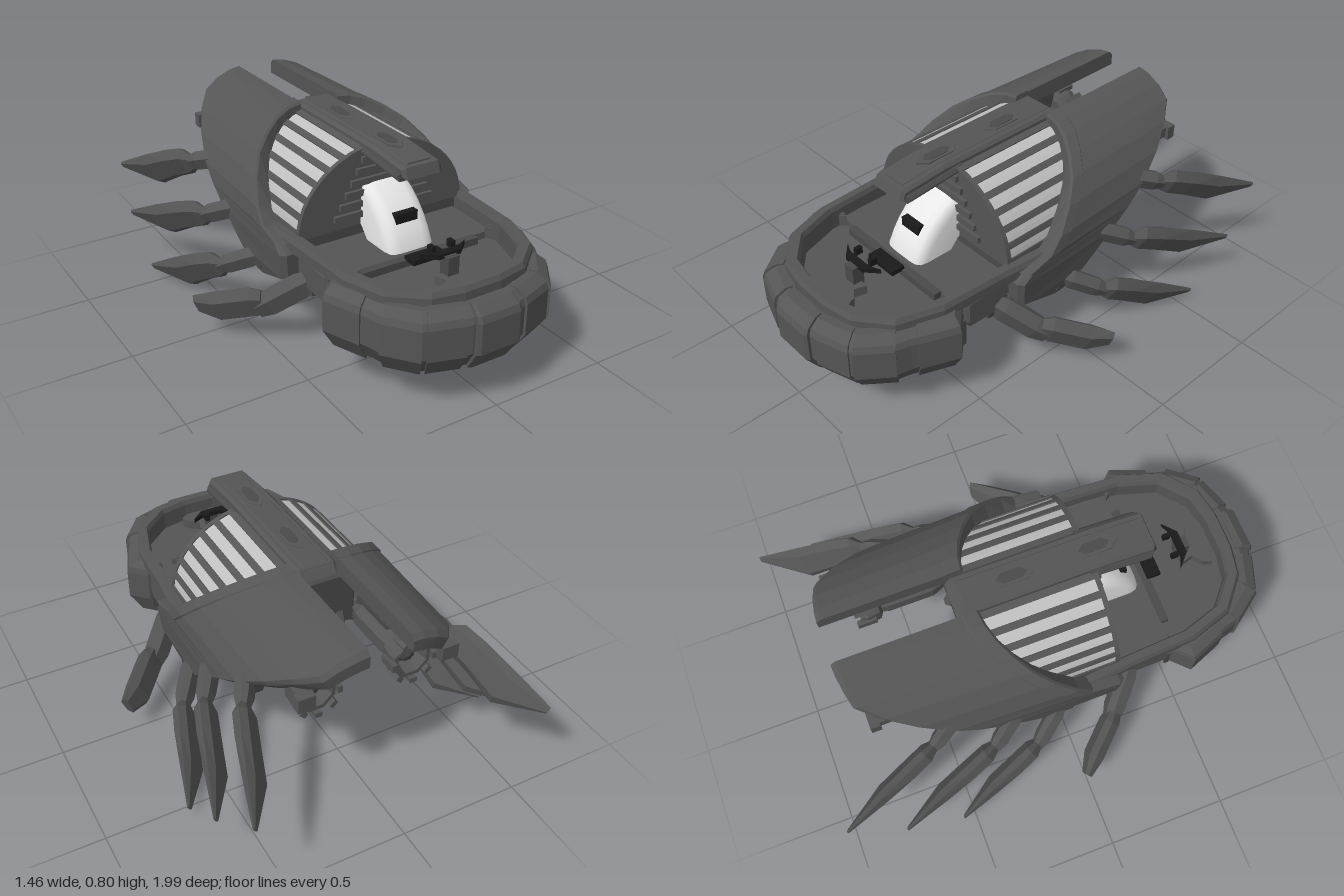
import * as THREE from 'three';
import { toCreasedNormals } from 'three/addons/utils/BufferGeometryUtils.js';

const mat = (name, color) => Object.assign(new THREE.MeshStandardMaterial({ color }), { name });
const V = (x, y, z) => new THREE.Vector3(x, y, z);

// linear lookup in [[key, value], ...]
function lookup(table, k) {
  for (let i = 1; i < table.length; i++) {
    const [a, va] = table[i - 1], [b, vb] = table[i];
    if (k <= b) return va + (vb - va) * Math.max(0, (k - a) / (b - a));
  }
  return table[table.length - 1][1];
}

// faceted normals, and faces turned outwards on any closed solid
function facet(geo) {
  const g = geo.index ? geo.toNonIndexed() : geo;
  const p = g.attributes.position;
  const a = V(), b = V(), c = V();
  let vol = 0;
  for (let i = 0; i < p.count; i += 3) {
    a.fromBufferAttribute(p, i); b.fromBufferAttribute(p, i + 1); c.fromBufferAttribute(p, i + 2);
    vol += a.dot(b.cross(c));
  }
  if (vol < 0) for (let i = 0; i < p.count; i += 3) {
    b.fromBufferAttribute(p, i + 1); c.fromBufferAttribute(p, i + 2);
    p.setXYZ(i + 1, c.x, c.y, c.z); p.setXYZ(i + 2, b.x, b.y, b.z);
  }
  g.computeVertexNormals();
  return g;
}

// solid through a row of equal-length rings, capped at both ends
function loft(rings) {
  const out = [], n = rings[0].length;
  const tri = (...v) => v.forEach(q => out.push(q.x, q.y, q.z));
  for (let i = 0; i < rings.length - 1; i++) for (let j = 0; j < n; j++) {
    const k = (j + 1) % n, A = rings[i], B = rings[i + 1];
    tri(A[j], A[k], B[k]); tri(A[j], B[k], B[j]);
  }
  const cap = (r, flip) => {
    const m = r.reduce((s, q) => s.add(q), V()).divideScalar(n);
    r.forEach((q, j) => flip ? tri(m, r[(j + 1) % n], q) : tri(m, q, r[(j + 1) % n]));
  };
  cap(rings[0], true); cap(rings[rings.length - 1], false);
  const g = new THREE.BufferGeometry();
  g.setAttribute('position', new THREE.Float32BufferAttribute(out, 3));
  return facet(g);
}

const shapeOf = pts => new THREE.Shape(pts.map(p => new THREE.Vector2(...p)));
// outline in [z, y], extruded across x
function across(pts, width, x = 0, bevel = 0.012) {
  const g = new THREE.ExtrudeGeometry(shapeOf(pts), { depth: width - 2 * bevel, bevelEnabled: true, bevelSize: bevel, bevelOffset: -bevel, bevelThickness: bevel, bevelSegments: 1 });
  return g.translate(0, 0, -(width - 2 * bevel) / 2).rotateY(-Math.PI / 2).translate(x, 0, 0);
}
// outline in [x, z], extruded down from yTop
const plan = (pts, yTop, depth) => new THREE.ExtrudeGeometry(shapeOf(pts), { depth, bevelEnabled: false }).rotateX(Math.PI / 2).translate(0, yTop, 0);
const mirrorPath = half => [...half.map(([x, z]) => [-x, z]), ...half.slice().reverse()];
const box = (w, h, d, x, y, z) => new THREE.BoxGeometry(w, h, d).translate(x, y, z);

// carapace outline: half width, front edge and rear edge at each height
const SHELL = [[0.43, 0.22], [0.45, 0.29], [0.46, 0.40], [0.46, 0.44], [0.46, 0.47], [0.45, 0.53], [0.41, 0.61], [0.355, 0.68], [0.29, 0.73], [0.22, 0.77], [0.15, 0.793], [0.09, 0.80]];
const FRONT = [[0.22, 0.05], [0.29, 0.24], [0.40, 0.25], [0.44, 0.2], [0.47, 0.08], [0.8, -0.26]];
const REAR = [[0.22, -0.04], [0.42, -0.31], [0.6, -0.6], [0.68, -0.72], [0.73, -0.8], [0.8, -0.825]];

// curved plate following the carapace, between two edges given by height; narrows aft
function shellPlate(s, pts, zf, zb, lift, thick, bev) {
  return loft(pts.map(([x, y], i) => {
    const p = pts[Math.max(0, i - 1)], q = pts[Math.min(pts.length - 1, i + 1)];
    const n = new THREE.Vector2(q[1] - p[1], p[0] - q[0]).normalize();
    const at = (d, z) => V(s * Math.max(0.088, (x + n.x * d) * (1 + Math.min(0, z + 0.15) * 0.12)), y + n.y * d, z);
    const f = zf(y), b = zb(y), e = Math.min(bev, (f - b) / 3);
    return [at(lift, f - e), at(lift, b + e), at(lift - bev, b), at(lift - thick, b), at(lift - thick, f), at(lift - bev, f)];
  }));
}

// flat limb plates; stations are [t, upper edge, lower edge, half thickness]
const BLADE = [[0, -0.03, 0.04, 0.015], [0.1, -0.07, 0.07, 0.03], [0.3, -0.065, 0.085, 0.03], [0.6, -0.045, 0.125, 0.025], [1, -0.012, 0.02, 0.005]];
const CLAW = [[0, -0.06, 0.04, 0.025], [0.15, -0.085, 0.07, 0.032], [0.7, -0.08, 0.075, 0.032], [1, -0.075, 0.02, 0.015]];
const ARM = [[0, -0.03, 0.03, 0.025], [0.2, -0.045, 0.045, 0.032], [0.85, -0.045, 0.045, 0.03], [1.15, -0.025, 0.03, 0.018]];
const THICK_ARM = [[0, -0.05, 0.05, 0.03], [0.2, -0.06, 0.06, 0.038], [0.9, -0.05, 0.07, 0.038], [1.2, -0.03, 0.06, 0.025]];
function limb(s, from, to, stations) {
  const a = V(...from), d = V(...to).sub(a), u = d.clone().normalize();
  const w = V(-0.45, -0.89, 0); w.addScaledVector(u, -w.dot(u)).normalize();
  const n = u.clone().cross(w);
  return loft(stations.map(([t, lo, hi, h]) => {
    const at = (k, m) => { const p = a.clone().addScaledVector(d, t).addScaledVector(w, k).addScaledVector(n, m); p.x *= s; return p; };
    const c = (hi - lo) * 0.2;
    return [at(lo, h * 0.3), at(lo + c, h), at(hi - c, h), at(hi, 0), at(hi - c, -h), at(lo + c, -h)];
  }));
}

export function createModel() {
  const root = new THREE.Group();
  root.name = 'craft';
  const hull = mat('hull grey', 0x555555), dark = mat('dark grey', 0x4a4a4a);
  const light = mat('light stripe', 0xc0c0c0), white = mat('white', 0xfafafa), black = mat('black', 0x1a1a1a);
  const add = (name, geo, m = hull) => { const o = new THREE.Mesh(geo, m); o.name = name; root.add(o); return o; };

  // wraparound bumper: a core ring with raised armour panels
  const outer = [[0.40, 0.49], [0.47, 0.56], [0.40, 0.74], [0.385, 0.80], [0.29, 0.925], [0.11, 0.985]];
  const profile = [[0.9, 0.42], [0.98, 0.395], [1, 0.37], [1, 0.25], [0.89, 0.17], [0.68, 0.17], [0.66, 0.30], [0.84, 0.34], [0.84, 0.42]];
  const wall = (path, k) => loft(path.map(([x, z]) => profile.map(([f, y]) => V(x * f * k, 0.295 + (y - 0.295) * (k > 0.99 ? 1.06 : 1), 0.48 + (z - 0.48) * f * k))));
  add('bumperCore', wall(mirrorPath(outer), 0.98));
  add('bumperPanelFront', wall([[-0.1, 0.985], [-0.085, 0.995], [0.085, 0.995], [0.1, 0.985]], 1.003));
  const lerp = (p, q, t) => [p[0] + (q[0] - p[0]) * t, p[1] + (q[1] - p[1]) * t];
  for (const s of [-1, 1]) {
    const panel = pts => add('bumperPanel', wall(pts.map(([x, z]) => [s * x, z]), 1));
    panel([outer[0], outer[1], lerp(outer[1], outer[2], 0.85)]);
    panel([outer[3], outer[4]]);
    panel([lerp(outer[4], outer[5], 0.1), lerp(outer[4], outer[5], 0.88)]);
    add('bumperVent', box(0.09, 0.12, 0.02, s * 0.35, 0.27, 0.483), dark);
    add('bellyPlate', box(0.12, 0.05, 0.22, s * 0.17, 0.235, 0.64));
  }
  add('bowBelly', plan(mirrorPath(outer).map(([x, z]) => [x * 0.8, 0.45 + (z - 0.48) * 0.85]), 0.345, 0.10), dark);

  // sunken cockpit: rim with inner wall, floor and rear deck
  const rim = [[0.44, 0.05], [0.415, 0.3], [0.40, 0.58], [0.34, 0.76], [0.21, 0.865], [0.08, 0.89]];
  add('cockpitRim', loft(mirrorPath(rim).map(([x, z]) => [[1, 0.41], [1, 0.45], [0.975, 0.47], [0.9, 0.47], [0.88, 0.45], [0.88, 0.33], [0.92, 0.33], [0.92, 0.41]].map(([f, y]) => V(x * f, y, z * (0.5 + f / 2))))));
  add('cockpitFloor', plan(mirrorPath(rim).map(([x, z]) => [x * 0.9, z * 0.95]), 0.37, 0.035));
  add('rearDeck', box(0.72, 0.05, 0.26, 0, 0.375, 0.36));
  add('deckStep', box(0.54, 0.03, 0.035, 0, 0.39, 0.505), dark);
  add('machineryBay', box(0.80, 0.13, 0.22, 0, 0.385, 0.125), dark);

  // keel, rising at the stern
  const keel = [[0.85, 0.26], [0.85, 0.33], [0.24, 0.33], [0.1, 0.42], [-0.26, 0.76], [-0.31, 0.72], [-0.31, 0.5], [-0.04, 0.31], [0.45, 0.29]];
  add('keel', across(keel, 0.34), dark);
  add('underside', box(0.76, 0.04, 0.5, 0, 0.335, 0.24));
  for (const s of [-1, 1]) {
    add('undersideRail', across([[0.5, 0.27], [0.5, 0.34], [0.08, 0.36], [-0.3, 0.58], [-0.34, 0.5], [-0.02, 0.26]], 0.08, s * 0.22));
    add('keelRail', across([[0.62, 0.255], [0.62, 0.32], [0, 0.36], [-0.3, 0.58], [-0.33, 0.5], [-0.03, 0.285], [0.42, 0.27]], 0.05, s * 0.1));
    add('sideBox', across([[0.47, 0.31], [0.47, 0.41], [0.26, 0.41], [0.26, 0.30], [0.3, 0.28], [0.45, 0.28]], 0.035, s * 0.383));
  }

  // canopy: dark core, light strips, narrow raised ribs and a front bulkhead
  const zEdge = y => lookup(FRONT, y);
  const zBack = y => Math.min(0.08, zEdge(y)) - 0.04;
  const arc = (a, r = 0) => [(0.38 + r) * Math.cos(a), 0.45 + (0.325 + r) * Math.sin(a)];
  const archRing = (r, z) => Array.from({ length: 25 }, (_, i) => arc(Math.PI * i / 24, r)).map(([x, y]) => V(x, y, z(y)));
  add('canopyCore', loft([archRing(-0.012, () => 0.235), archRing(-0.012, y => zBack(y) - 0.01)]), dark);
  add('bulkhead', loft([archRing(0.006, () => 0.23), archRing(0.006, () => 0.25)]));
  const strip = (s, a0, a1, r) => loft([0, 0.5, 1].map(t => {
    const a = a0 + (a1 - a0) * t, [x, y] = arc(a, r), [u, v] = arc(a, -0.02), b = zBack(y);
    return [V(s * x, y, 0.24), V(s * x, y, b), V(s * u, v, b), V(s * u, v, 0.24)];
  }));
  const pitch = 0.205, ribWidth = 0.078;
  for (const s of [-1, 1]) for (let i = 0; i < 7; i++) {
    const a = 0.03 + pitch * i;
    add('canopyRib', strip(s, a, a + ribWidth, 0.006));
    if (i < 6) add('canopyStrip', strip(s, a + ribWidth, a + pitch, 0), light);
  }
  for (let i = 0; i < 6; i++) add('bulkheadSlat', box(0.46 - 0.05 * i, 0.026, 0.03, 0, 0.5 + 0.045 * i, 0.25));

  // spine beam over the canopy
  add('spineBeam', across([[-0.32, 0.75], [-0.29, 0.793], [0.3, 0.793], [0.5, 0.775], [0.515, 0.73], [0.45, 0.725], [0.25, 0.75]], 0.17));
  add('spineRidge', across([[-0.3, 0.78], [-0.28, 0.797], [0.27, 0.797], [0.48, 0.782], [0.48, 0.76]], 0.11, 0, 0.004));
  add('spineFlange', across([[0.22, 0.745], [0.22, 0.775], [0.49, 0.75], [0.49, 0.72]], 0.21), dark);
  for (const z of [-0.07, 0.27]) {
    const hex = k => [[0, -0.1], [0.033, -0.06], [0.033, 0.06], [0, 0.1], [-0.033, 0.06], [-0.033, -0.06]].map(([x, d]) => [x * k, z + d * k]);
    add('spineHatch', plan(hex(1), 0.8, 0.008));
    add('spineHatchInset', plan(hex(0.65), 0.802, 0.008), dark);
  }

  // twin rear carapace shells with a raised arch trim
  for (const s of [-1, 1]) {
    add('rearShell', shellPlate(s, SHELL, zEdge, y => lookup(REAR, y), 0, 0.07, 0.02));
    add('archTrim', shellPlate(s, SHELL.slice(3), y => zEdge(y) + 0.025, y => zEdge(y) - 0.05, 0.005, 0.07, 0.01));

    // engine slung under each shell, with an eight-sided nozzle
    const ex = s * 0.205, ey = 0.535;
    const lathe = (pts, z) => facet(new THREE.LatheGeometry(pts.map(p => new THREE.Vector2(...p)), 8, Math.PI / 8).rotateX(-Math.PI / 2).translate(ex, ey, z));
    add('engineBarrel', lathe([[0, 0], [0.05, 0], [0.07, 0.05], [0.07, 0.24], [0.055, 0.3], [0, 0.3]], -0.31));
    add('engineNozzle', lathe([[0.05, 0], [0.085, 0.02], [0.095, 0.07], [0.085, 0.1], [0.068, 0.1], [0.055, 0.02], [0.05, 0]], -0.57));
    add('engineCore', lathe([[0, 0], [0.055, 0], [0.03, 0.05], [0, 0.06]], -0.59), dark);
    for (let i = 0; i < 8; i++)
      add('nozzleFin', new THREE.BoxGeometry(0.03, 0.02, 0.08).translate(0, 0.088, 0).rotateZ(i * Math.PI / 4).translate(ex, ey, -0.65));
    add('engineHanger', across([[-0.3, 0.56], [-0.34, 0.74], [-0.58, 0.74], [-0.54, 0.56]], 0.08, s * 0.21), dark);
    add('nozzleArm', box(0.045, 0.045, 0.2, s * 0.3, 0.61, -0.66));
    add('nozzleClamp', box(0.07, 0.06, 0.04, s * 0.3, 0.605, -0.75));
    add('engineStrut', across([[-0.1, 0.42], [-0.2, 0.62], [-0.5, 0.64], [-0.5, 0.54], [-0.34, 0.46], [-0.2, 0.4]], 0.07, s * 0.32), dark);
    add('engineMount', across([[-0.3, 0.46], [-0.3, 0.53], [-0.53, 0.55], [-0.5, 0.47]], 0.07, s * 0.36));

    // legs: hip, arm and blade
    const legs = [
      [[0.37, 0.3, 0.31], [0.51, 0.19, 0.19], [0.70, 0.12, -0.01], THICK_ARM, CLAW],
      [[0.42, 0.28, -0.02], [0.52, 0.2, -0.15], [0.68, 0.055, -0.55], ARM, BLADE],
      [[0.41, 0.42, -0.2], [0.50, 0.355, -0.33], [0.67, 0.22, -0.78], ARM, BLADE],
      [[0.36, 0.55, -0.42], [0.445, 0.5, -0.56], [0.62, 0.365, -0.995], ARM, BLADE]];
    for (const [hip, knee, tip, arm, blade] of legs) {
      add('legHip', box(0.09, 0.07, 0.1, s * (hip[0] - 0.02), hip[1], hip[2]), dark);
      add('legArm', limb(s, hip, knee, arm));
      add('legBlade', limb(s, knee, tip, blade));
    }
  }

  // white rounded pilot seat rising from the cockpit floor, with a black pad
  const seatArc = [[0.47, 0.37, 0.1], [0.46, 0.42, 0.105], [0.435, 0.47, 0.105], [0.405, 0.515, 0.105], [0.365, 0.56, 0.105], [0.315, 0.6, 0.105], [0.27, 0.625, 0.105], [0.235, 0.638, 0.105]];
  const seatSection = [[-1, -0.16], [-1, -0.05], [-0.93, -0.02], [-0.78, -0.005], [-0.5, 0], [0.5, 0], [0.78, -0.005], [0.93, -0.02], [1, -0.05], [1, -0.16]];
  add('seat', toCreasedNormals(loft(seatArc.map(([z, y, w]) => seatSection.map(([x, d]) => V(x * w, Math.max(0.36, y + d * 0.75), z + d * 0.65)))), 0.9), white);
  add('seatPad', box(0.1, 0.04, 0.03, 0, 0.52, 0.4), black);
  add('footRest', box(0.15, 0.02, 0.06, 0, 0.41, 0.54), black);

  // control console
  add('consoleBase', plan([[-0.1, 0.8], [-0.085, 0.76], [-0.045, 0.73], [-0.06, 0.68], [0.06, 0.68], [0.045, 0.73], [0.085, 0.76], [0.1, 0.8], [0.06, 0.82], [-0.06, 0.82]], 0.41, 0.05));
  add('consoleStem', box(0.05, 0.09, 0.05, 0, 0.44, 0.69), dark);
  add('controlYoke', plan([[-0.105, 0.64], [-0.06, 0.66], [0.06, 0.66], [0.105, 0.64], [0.05, 0.69], [-0.05, 0.69]], 0.495, 0.02), black);
  for (const s of [-1, 1]) add('controlGrip', box(0.018, 0.03, 0.03, s * 0.045, 0.495, 0.635), black);
  return root;
}
